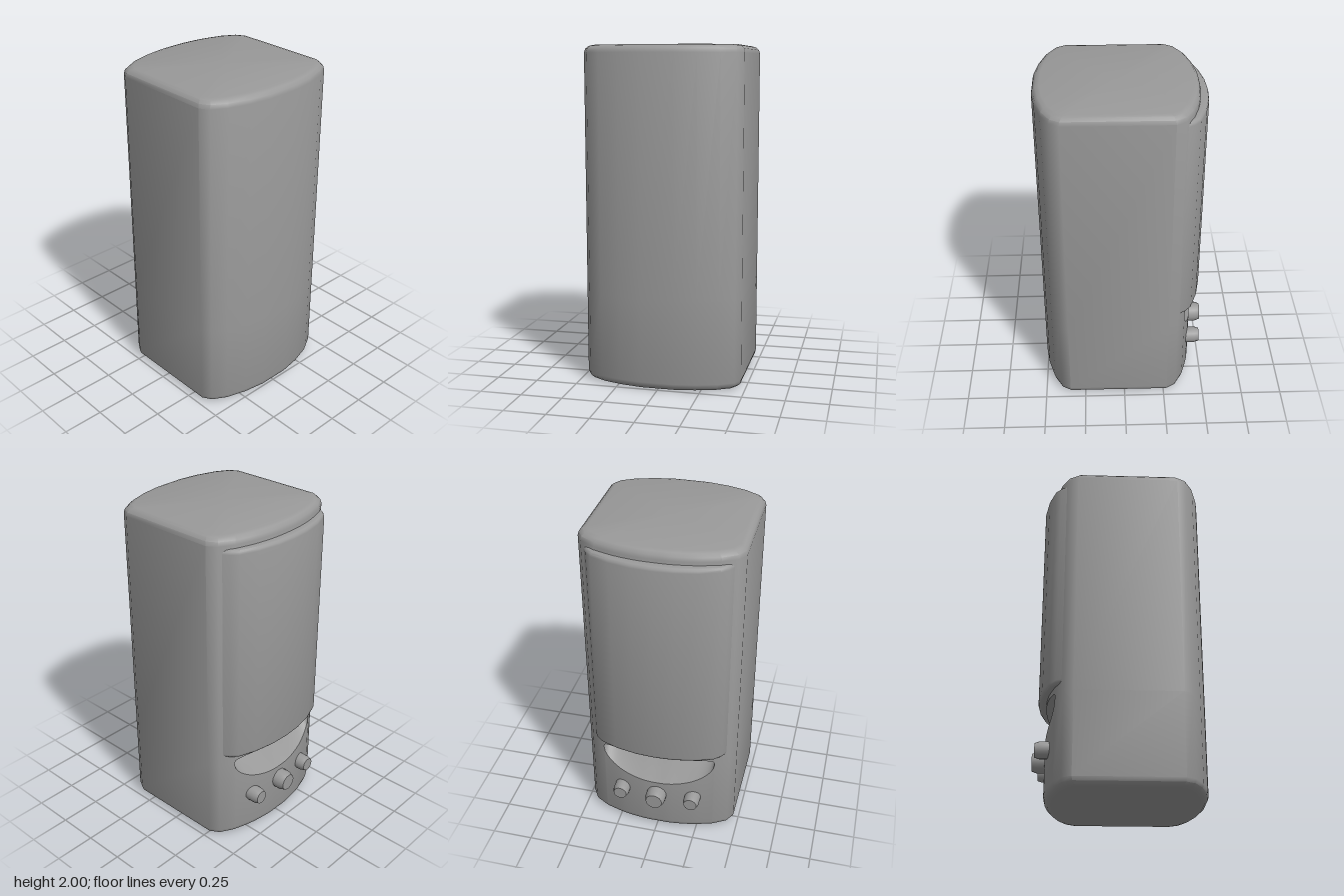
import * as THREE from 'three';
import { toCreasedNormals } from 'three/addons/utils/BufferGeometryUtils.js';

const material = new THREE.MeshStandardMaterial({ color: 0x999999 });

// Skin a stack of equally sized closed rings of [x, y, z] points
function loft(rings) {
  const n = rings[0].length;
  const index = [];
  for (let j = 0; j < rings.length - 1; j++) {
    for (let i = 0; i < n; i++) {
      const a = j * n + i, b = j * n + (i + 1) % n;
      index.push(a, b, b + n, a, b + n, a + n);
    }
  }
  const geo = new THREE.BufferGeometry();
  geo.setAttribute('position', new THREE.Float32BufferAttribute(rings.flat(2), 3));
  geo.setIndex(index);
  return toCreasedNormals(geo, 0.6);
}

const mirrored = points => points.map(([x, z]) => [-x, z]).reverse();

// Rings of a rounded bottom edge from y0 upward (dir 1), or a top edge (dir -1)
function roundedEnd(outline, y0, radius, centreZ, dir) {
  const halfWidth = Math.max(...outline.map(p => p[0]));
  const halfDepth = Math.max(...outline.map(p => Math.abs(p[1] - centreZ)));
  const ring = (y, sx, sz) => outline.map(([x, z]) => [x * sx, y, centreZ + (z - centreZ) * sz]);
  const rings = [ring(y0, 0, 0)];
  for (let k = 0; k <= 3; k++) {
    const a = k * Math.PI / 6;
    const inset = radius * (1 - Math.sin(a));
    rings.push(ring(y0 + dir * radius * (1 - Math.cos(a)), 1 - inset / halfWidth, 1 - inset / halfDepth));
  }
  return dir > 0 ? rings : rings.reverse();
}

// Cabinet with a slanted, round-ended port cut into its back
function cabinetGeometry() {
  const side = [[0.1, 0.508], [0.23, 0.487], [0.355, 0.449], [0.44, 0.4], [0.472, 0.345],
    [0.472, -0.27], [0.438, -0.327]];
  const backHalf = [[0.355, -0.375], [0.23, -0.412], [0.1, -0.432]];
  const backCurve = new THREE.SplineCurve([...backHalf, [0, -0.435], ...mirrored(backHalf)]
    .map(([x, z]) => new THREE.Vector2(x, z)));
  const back = backCurve.getPoints(60).map(p => [p.x, p.y]);
  const outline = [...side, ...back, ...mirrored(side)];

  // Floor rises from the lip (t = 0) to the inner edge of the ceiling (t = 1)
  const portWidth = 0.355, portY = 0.54, portDepth = 0.16;
  const portRing = (t, depth) => outline.map(([x, z]) => {
    const k = z < -0.37 ? Math.sqrt(Math.max(0, 1 - (x / portWidth) ** 2)) : 0;
    const lip = portY - 0.18 * k;
    const ceiling = portY + 0.04 * Math.sqrt(k);
    return [x, lip + (ceiling - lip) * t, z + depth * Math.sqrt(k)];
  });
  return loft([
    ...roundedEnd(outline, 0, 0.045, 0.035, 1),
    portRing(0, 0), portRing(0.5, portDepth * 0.55), portRing(1, portDepth), portRing(1, 0),
    ...roundedEnd(outline, 2, 0.045, 0.035, -1),
  ]);
}

// Curved cover panel with rounded edges
function panelGeometry() {
  const half = [[0.42, -0.335], [0.397, -0.375], [0.36, -0.41], [0.25, -0.452], [0.12, -0.478]];
  const outline = [[0, -0.335], ...half, [0, -0.485], ...mirrored(half)];
  return loft([
    ...roundedEnd(outline, 0.6, 0.025, -0.335, 1),
    ...roundedEnd(outline, 1.935, 0.025, -0.335, -1),
  ]);
}

// Tapered control knob pointing backward
function knobGeometry(radius, length) {
  const profile = [[radius, 0], [radius, length * 0.72], [radius * 0.82, length], [0, length]]
    .map(([r, y]) => new THREE.Vector2(r, y));
  return toCreasedNormals(new THREE.LatheGeometry(profile, 16).rotateX(-Math.PI / 2), 0.6);
}

export function createModel() {
  const model = new THREE.Group();
  model.name = 'speaker';
  const add = (name, geometry, x = 0, y = 0, z = 0) => {
    const mesh = new THREE.Mesh(geometry, material);
    mesh.name = name;
    mesh.position.set(x, y, z);
    model.add(mesh);
  };

  add('cabinet', cabinetGeometry());
  add('coverPanel', panelGeometry());

  // Controls below the port
  add('centreKnob', knobGeometry(0.063, 0.11), 0, 0.266, -0.4);
  for (const side of [-1, 1]) {
    add(side > 0 ? 'leftKnob' : 'rightKnob', knobGeometry(0.05, 0.095), side * 0.227, 0.266, -0.39);
  }
  return model;
}
